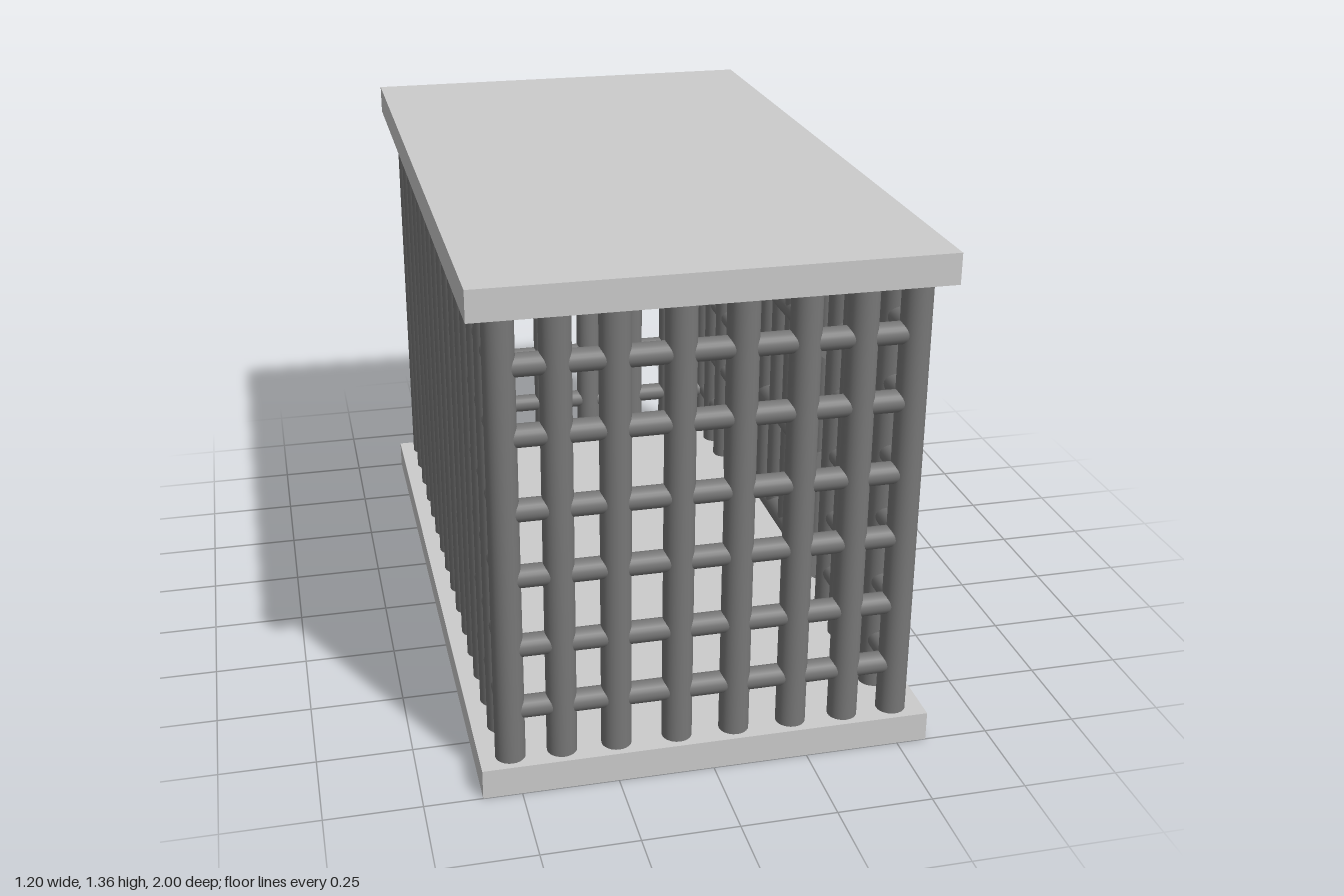
import * as THREE from 'three';

const slabMat = new THREE.MeshStandardMaterial({ color: 0xcccccc });
const barMat = new THREE.MeshStandardMaterial({ color: 0x777777 });
const lockMat = new THREE.MeshStandardMaterial({ color: 0xd8d04c });

const BAR_R = 0.039, RAIL_R = 0.029;
const LEFT_X = 0.497, RIGHT_X = -0.52, END_Z = 0.943;
const BASE_Y = 0.08, TOP_Y = 1.275;

// Round rod between two points
function rod(name, a, b, radius, mat = barMat) {
  const from = new THREE.Vector3(...a), to = new THREE.Vector3(...b);
  const dir = to.clone().sub(from);
  const mesh = new THREE.Mesh(new THREE.CylinderGeometry(radius, radius, dir.length(), 24), mat);
  mesh.position.copy(from).add(to).multiplyScalar(0.5);
  mesh.quaternion.setFromUnitVectors(new THREE.Vector3(0, 1, 0), dir.normalize());
  mesh.name = name;
  return mesh;
}

function box(name, w, h, d, x, y, z, mat) {
  const mesh = new THREE.Mesh(new THREE.BoxGeometry(w, h, d), mat);
  mesh.position.set(x, y, z);
  mesh.name = name;
  return mesh;
}

function group(name, parent) {
  const g = new THREE.Group();
  g.name = name;
  parent.add(g);
  return g;
}

export function createModel() {
  const model = new THREE.Group();
  model.name = 'cage';

  // Floor and roof slabs
  model.add(box('floorSlab', 1.18, 0.08, 2, -0.01, 0.04, 0, slabMat));
  model.add(box('roofSlab', 1.18, 0.08, 2, -0.01, 1.315, 0, slabMat));

  const railYs = [0.22, 0.397, 0.59, 0.769, 0.964, 1.143];
  const endXs = [-0.387, -0.245, -0.086, 0.066, 0.22, 0.362];
  const frontZs = [END_Z, 0.807, 0.68, 0.553, 0.434];
  const doorZs = [0.316, 0.187, 0.06, -0.064, -0.187, -0.31];
  const backZs = [-0.43, -0.548, -0.68, -0.813, -0.94];

  // Front and back walls
  for (const [name, z] of [['frontWall', END_Z], ['backWall', -0.94]]) {
    const wall = group(name, model);
    for (const x of endXs) wall.add(rod('uprightBar', [x, BASE_Y, z], [x, TOP_Y, z], BAR_R));
    for (const y of railYs) wall.add(rod('crossRail', [RIGHT_X, y, z], [LEFT_X, y, z], RAIL_R));
  }

  // Long walls with the corner bars; the +x wall leaves a gap for the door
  const closedWall = group('rightWall', model);
  const doorWall = group('leftWall', model);
  for (const z of [...frontZs, ...doorZs, ...backZs])
    closedWall.add(rod('uprightBar', [RIGHT_X, BASE_Y, z], [RIGHT_X, TOP_Y, z], BAR_R));
  for (const z of [...frontZs, ...backZs])
    doorWall.add(rod('uprightBar', [LEFT_X, BASE_Y, z], [LEFT_X, TOP_Y, z], BAR_R));
  for (const y of railYs) {
    closedWall.add(rod('crossRail', [RIGHT_X, y, -0.94], [RIGHT_X, y, END_Z], RAIL_R));
    doorWall.add(rod('crossRail', [LEFT_X, y, 0.434], [LEFT_X, y, END_Z], RAIL_R));
    doorWall.add(rod('crossRail', [LEFT_X, y, -0.94], [LEFT_X, y, -0.43], RAIL_R));
  }

  // Door: four thick rails, uprights and hinge pins
  const door = group('door', model);
  for (const y of [0.185, 0.515, 0.88, 1.172]) {
    door.add(rod('doorRail', [LEFT_X, y, -0.36], [LEFT_X, y, 0.36], 0.041));
    door.add(rod('hingePin', [LEFT_X, y, -0.43], [LEFT_X, y, -0.35], 0.016));
  }
  for (const z of doorZs)
    door.add(rod('doorBar', [LEFT_X, 0.185, z], [LEFT_X, 1.172, z], 0.038));

  // Padlock hanging tilted, with a shackle hooked back over the bar
  const lock = group('padlock', model);
  const body = box('lockBody', 0.023, 0.118, 0.12, 0.567, 0.511, 0.387, lockMat);
  body.rotation.z = 0.34;
  lock.add(body);
  const legs = [[0.55, 0.555, 0.028], [0.562, 0.59, 0.026], [0.556, 0.622, 0.03], [0.535, 0.636, 0.035],
    [0.512, 0.622, 0.036], [0.503, 0.596, 0.025]];
  const path = [
    ...legs.map(([x, y, dz]) => new THREE.Vector3(x, y, 0.388 + dz)),
    ...legs.slice().reverse().map(([x, y, dz]) => new THREE.Vector3(x, y, 0.388 - dz)),
  ];
  const shackle = new THREE.Mesh(
    new THREE.TubeGeometry(new THREE.CatmullRomCurve3(path), 64, 0.01, 12), barMat);
  shackle.name = 'shackle';
  lock.add(shackle);
  lock.add(rod('hasp', [0.525, 0.6, 0.388], [0.525, 0.638, 0.388], 0.012, lockMat));

  return model;
}
